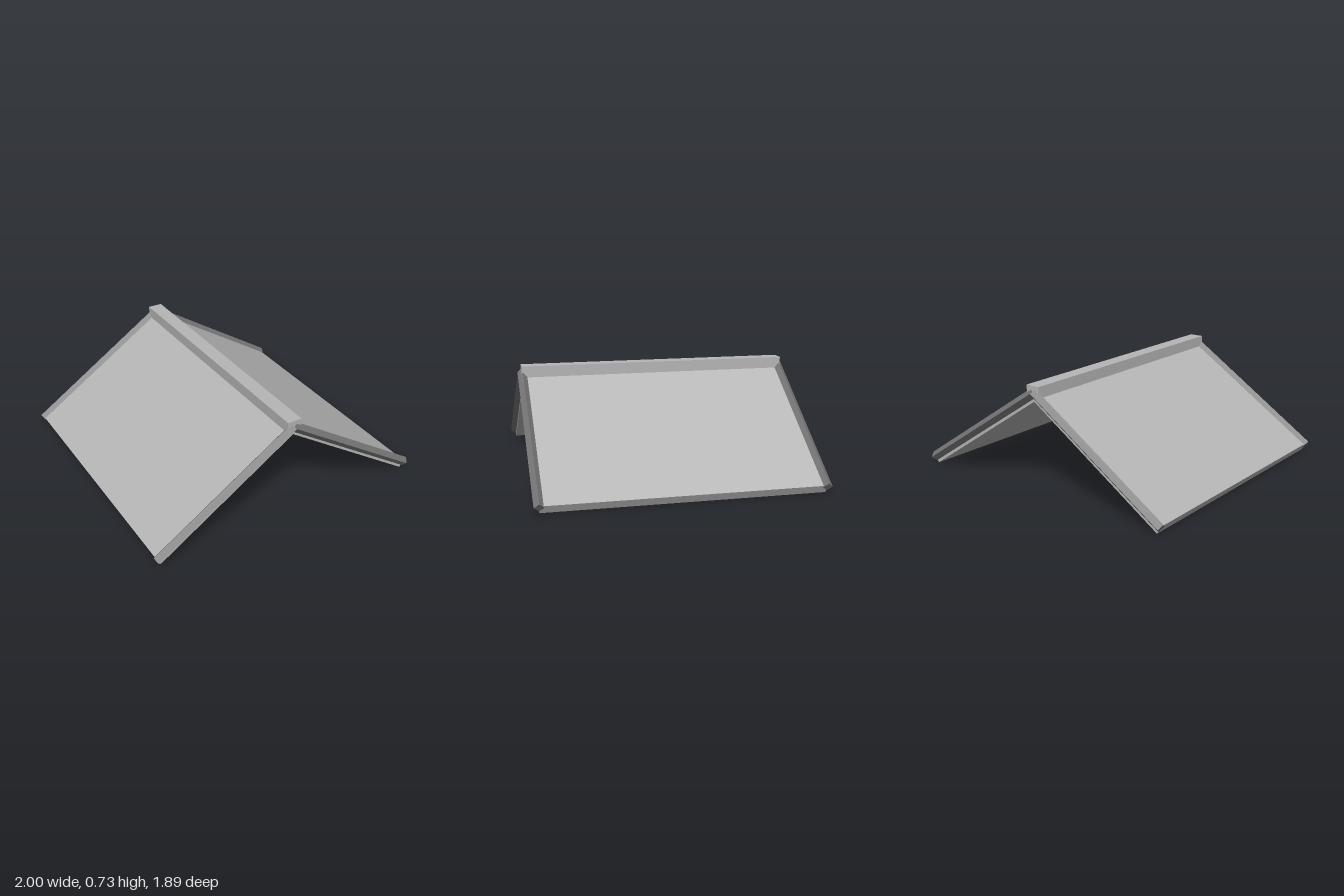
import * as THREE from 'three';

export function createModel() {
  const roofGrey = new THREE.MeshStandardMaterial({ color: 0xb6b6b6 });
  roofGrey.name = 'light grey roof';
  const trimGrey = new THREE.MeshStandardMaterial({ color: 0x767676, flatShading: true });
  trimGrey.name = 'dark grey trim';

  const model = new THREE.Group();
  model.name = 'gableRoof';
  const add = (name, geometry, material) => {
    const mesh = new THREE.Mesh(geometry, material);
    mesh.name = name;
    model.add(mesh);
    return mesh;
  };

  // Two sloping slabs as one chevron section, run from back to front
  const depth = 1.822;
  const section = new THREE.Shape([
    [0.952, 0], [0.98, 0.051], [0, 0.687], [-0.98, 0.051], [-0.952, 0], [0, 0.624],
  ].map(([x, y]) => new THREE.Vector2(x, y)));
  const slabs = new THREE.ExtrudeGeometry(section, { depth, bevelEnabled: false });
  slabs.translate(0, 0, -depth / 2);
  add('roofSlabs', slabs, roofGrey);

  // Square cap along the ridge
  const cap = new THREE.BoxGeometry(0.1, 0.077, 1.844);
  cap.translate(0, 0.6915, 0);
  add('ridgeCap', cap, roofGrey);

  // Diamond-section trim along each sloping edge, cut square at its ends
  const eave = new THREE.Vector2(0.982, 0.043);
  const ridge = new THREE.Vector2(0, 0.683);
  const run = ridge.clone().sub(eave);
  const middle = eave.clone().add(ridge).multiplyScalar(0.5);
  for (const side of [1, -1]) {
    for (const end of [1, -1]) {
      const bar = new THREE.CylinderGeometry(0.033, 0.033, run.length(), 4);
      bar.rotateZ(side * Math.atan2(-run.x, run.y));
      bar.translate(side * middle.x, middle.y, end * 0.914);
      add((end > 0 ? 'front' : 'back') + (side > 0 ? 'Left' : 'Right') + 'Trim', bar, trimGrey);
    }
  }
  return model;
}
